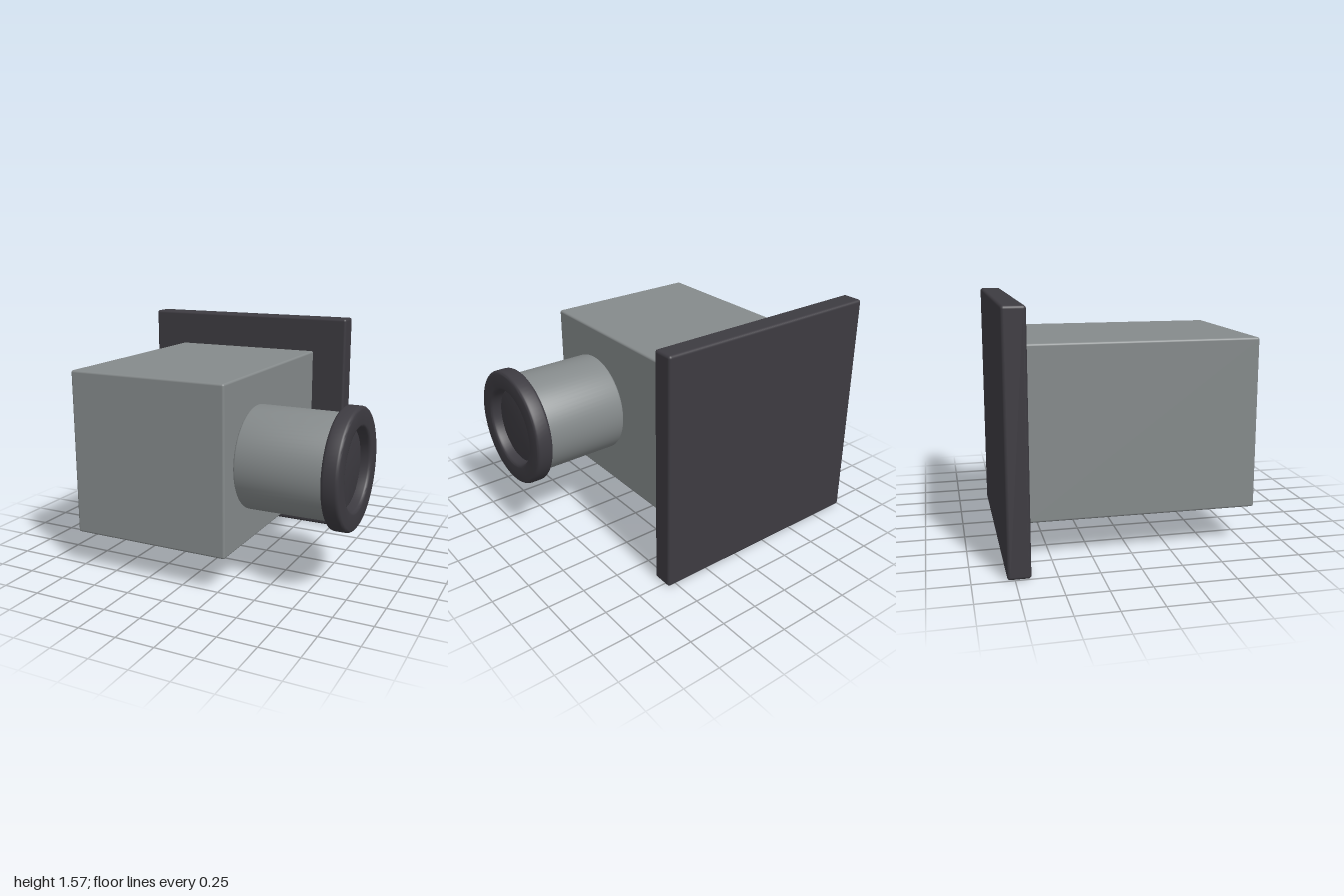
import * as THREE from 'three';
import { RoundedBoxGeometry } from 'three/addons/geometries/RoundedBoxGeometry.js';
import { toCreasedNormals } from 'three/addons/utils/BufferGeometryUtils.js';

const PORT_Y = 0.785, PORT_Z = 0.348;

// Box given by its two opposite corners, with softened edges
function block(name, min, max, radius, material) {
  const size = max.map((v, i) => v - min[i]);
  const mesh = new THREE.Mesh(new RoundedBoxGeometry(...size, 3, radius), material);
  mesh.position.set(...max.map((v, i) => (v + min[i]) / 2));
  mesh.name = name;
  return mesh;
}

// Quarter-circle bevel points around (cx, cy), from angle a to a + 90 degrees
function bevel(cx, cy, r, a) {
  return [0, 1, 2, 3, 4].map((i) => {
    const t = a + (i / 4) * Math.PI / 2;
    return new THREE.Vector2(cx + r * Math.cos(t), cy + r * Math.sin(t));
  });
}

// Round part turned about the x axis, from x0 to x1, hollow when inner > 0
function turned(name, x0, x1, outer, inner, r, material) {
  const h = x1 - x0, q = Math.PI / 2;
  const pts = [...bevel(outer - r, r, r, -q), ...bevel(outer - r, h - r, r, 0)];
  if (inner > 0) {
    pts.push(...bevel(inner + r, h - r, r, q), ...bevel(inner + r, r, r, 2 * q));
    pts.push(pts[0].clone());
  } else {
    pts.unshift(new THREE.Vector2(0, 0));
    pts.push(new THREE.Vector2(0, h));
  }
  const geometry = toCreasedNormals(new THREE.LatheGeometry(pts, 72), 0.5);
  geometry.rotateZ(-Math.PI / 2);
  const mesh = new THREE.Mesh(geometry, material);
  mesh.position.set(x0, PORT_Y, PORT_Z);
  mesh.name = name;
  return mesh;
}

export function createModel() {
  const grey = new THREE.MeshStandardMaterial({ name: 'housing grey', color: 0x858a8b });
  const dark = new THREE.MeshStandardMaterial({ name: 'flange charcoal', color: 0x3d3b41 });
  const group = new THREE.Group();
  group.name = 'wallBoxWithPort';

  group.add(
    // Square mounting plate and housing
    block('mountingPlate', [-1, 0, -0.795], [0.56, 1.565, -0.655], 0.018, dark),
    block('housing', [-0.757, 0.246, -0.655], [0.32, 1.325, 0.795], 0.014, grey),
    // Side port: pipe, end ring and recessed cap
    turned('portPipe', 0.32, 0.892, 0.335, 0, 0.014, grey),
    turned('portRing', 0.89, 1, 0.385, 0.255, 0.022, dark),
    turned('portCap', 0.89, 0.935, 0.249, 0, 0.01, dark),
  );
  return group;
}
